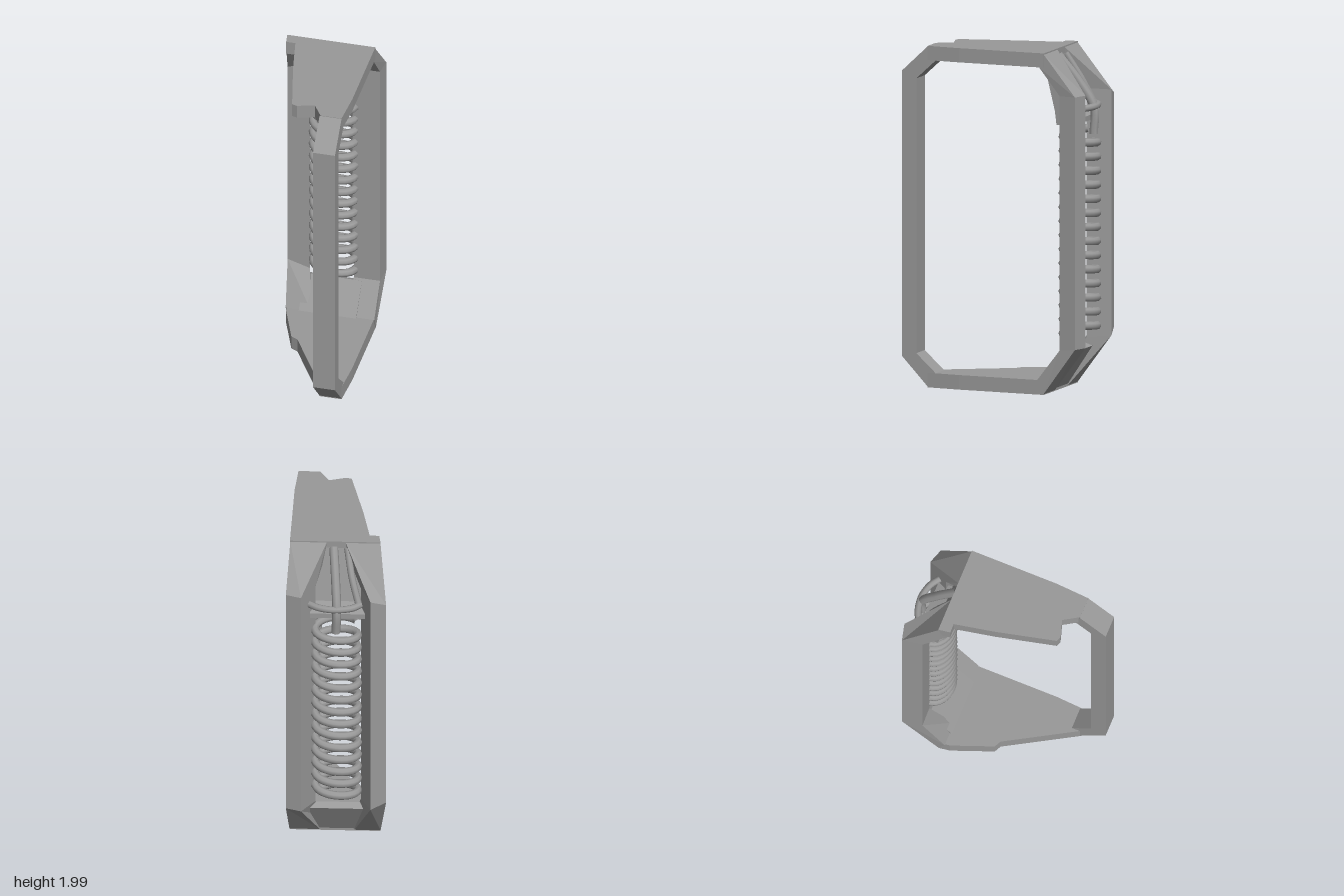
import * as THREE from 'three';

const steel = new THREE.MeshStandardMaterial({ color: 0x999999 });
steel.name = 'grey steel';

// Lofts four-cornered sections (counter-clockwise seen from above, listed downwards)
function loft(sections) {
  const pos = [];
  const tri = (a, b, c) => pos.push(...a, ...b, ...c);
  for (let i = 0; i < sections.length - 1; i++) {
    const s = sections[i], t = sections[i + 1];
    for (let k = 0; k < 4; k++) {
      const n = (k + 1) % 4;
      tri(s[k], t[k], t[n]);
      tri(s[k], t[n], s[n]);
    }
  }
  const a = sections[0], z = sections[sections.length - 1];
  tri(a[0], a[1], a[2]); tri(a[0], a[2], a[3]);
  tri(z[2], z[1], z[0]); tri(z[3], z[2], z[0]);
  const g = new THREE.BufferGeometry();
  g.setAttribute('position', new THREE.Float32BufferAttribute(pos, 3));
  g.computeVertexNormals();
  return g;
}

// Horizontal plate from an x/z outline, hanging down from height top
function plateGeometry(outline, top, depth) {
  const shape = new THREE.Shape(outline.map(([x, z]) => new THREE.Vector2(x, z)));
  const g = new THREE.ExtrudeGeometry(shape, { depth, bevelEnabled: false });
  return g.rotateX(Math.PI / 2).translate(0, top, 0);
}

// Web with a z/y profile, spanning x0 to x1
function webGeometry(profile, x0, x1) {
  const shape = new THREE.Shape(profile.map(([z, y]) => new THREE.Vector2(-z, y)));
  const g = new THREE.ExtrudeGeometry(shape, { depth: x1 - x0, bevelEnabled: false });
  return g.rotateY(Math.PI / 2).translate(x0, 0, 0);
}

function wireGeometry(points, radius, segments = 24) {
  const curve = new THREE.CatmullRomCurve3(points.map((p) => new THREE.Vector3(...p)));
  return new THREE.TubeGeometry(curve, segments, radius, 8);
}

export function createModel() {
  const group = new THREE.Group();
  const add = (name, geometry) => {
    const mesh = new THREE.Mesh(geometry, steel);
    mesh.name = name;
    group.add(mesh);
  };

  // Front post with chamfered ends: outer z/y, inner z/y
  const frontPath = [
    [0.40, 1.99, 0.35, 1.91], [0.56, 1.84, 0.47, 1.80],
    [0.56, 0.18, 0.47, 0.20], [0.40, 0.01, 0.35, 0.09],
  ];
  add('frontPost', loft(frontPath.map(([zo, yo, zi, yi]) => [
    [0.25, yi, zi], [0.12, yi, zi], [0.12, yo, zo], [0.25, yo, zo],
  ])));

  // Rear posts: outer rear, inner rear, inner front, outer front corners
  add('rightRearPost', loft([
    [[0.27, 1.985, -0.33], [0.06, 1.985, -0.33], [0.06, 1.91, -0.30], [0.27, 1.91, -0.30]],
    [[0.288, 1.75, -0.53], [0.20, 1.75, -0.56], [0.12, 1.75, -0.43], [0.275, 1.75, -0.43]],
    [[0.288, 0.28, -0.53], [0.20, 0.28, -0.56], [0.12, 0.27, -0.43], [0.275, 0.27, -0.43]],
    [[0.275, 0.01, -0.33], [0.10, 0.01, -0.33], [0.10, 0.09, -0.29], [0.275, 0.09, -0.29]],
  ]));
  add('leftRearPost', loft([
    [[-0.05, 1.985, -0.33], [-0.25, 1.985, -0.33], [-0.24, 1.91, -0.27], [-0.05, 1.91, -0.30]],
    [[-0.20, 1.73, -0.56], [-0.29, 1.70, -0.54], [-0.27, 1.70, -0.42], [-0.14, 1.74, -0.43]],
    [[-0.20, 0.30, -0.56], [-0.29, 0.34, -0.54], [-0.27, 0.34, -0.42], [-0.14, 0.29, -0.43]],
    [[-0.10, 0.01, -0.33], [-0.25, 0.01, -0.33], [-0.25, 0.09, -0.29], [-0.10, 0.09, -0.29]],
  ]));

  // Tapering top and bottom plates
  add('topPlate', plateGeometry([
    [0.125, 0.40], [0.25, 0.40], [0.265, 0.20], [0.272, -0.33], [-0.25, -0.33],
    [-0.24, -0.26], [-0.185, -0.26], [-0.14, -0.02], [-0.06, 0.33], [-0.03, 0.34],
    [0.07, 0.31],
  ], 1.993, 0.083));
  add('bottomPlate', plateGeometry([
    [0.12, 0.40], [0.25, 0.40], [0.265, 0.20], [0.272, -0.33], [-0.25, -0.33],
    [-0.24, -0.26], [-0.15, -0.02], [-0.11, 0.00],
  ], 0.09, 0.085));

  // Sloping webs between the rear posts
  add('upperWeb', webGeometry([
    [-0.28, 1.93], [-0.35, 1.64], [-0.36, 1.56], [-0.49, 1.57], [-0.49, 1.60],
    [-0.40, 1.63], [-0.33, 1.95],
  ], -0.18, 0.15));
  add('lowerWeb', webGeometry([
    [-0.27, 0.08], [-0.42, 0.26], [-0.46, 0.24], [-0.33, 0.02],
  ], -0.17, 0.17));

  // Coil spring, descending towards +x across the front
  const coil = [];
  const turns = 14.5, steps = 16;
  for (let i = 0; i <= turns * steps; i++) {
    const a = (i / steps) * Math.PI * 2;
    coil.push([-0.125 * Math.cos(a), 1.51 - 0.082 * (i / steps), -0.445 + 0.095 * Math.sin(a)]);
  }
  add('spring', wireGeometry(coil, 0.024, 360));

  // Bent wire end of the spring, hooked up to the top plate
  add('hookWire', wireGeometry([
    [0.02, 1.95, -0.32], [0.005, 1.80, -0.44], [-0.005, 1.65, -0.53], [0, 1.50, -0.53],
  ], 0.026));
  add('hookLoop', wireGeometry([
    [-0.14, 1.66, -0.48], [-0.09, 1.66, -0.52], [0.01, 1.66, -0.54],
    [0.10, 1.66, -0.52], [0.16, 1.66, -0.48],
  ], 0.02));
  add('sideWire', wireGeometry([
    [-0.06, 1.95, -0.33], [-0.09, 1.80, -0.42], [-0.13, 1.66, -0.48],
  ], 0.02));
  add('springTip', wireGeometry([
    [-0.01, 1.58, -0.37], [-0.01, 1.53, -0.37], [-0.06, 1.51, -0.36],
  ], 0.016));
  return group;
}
